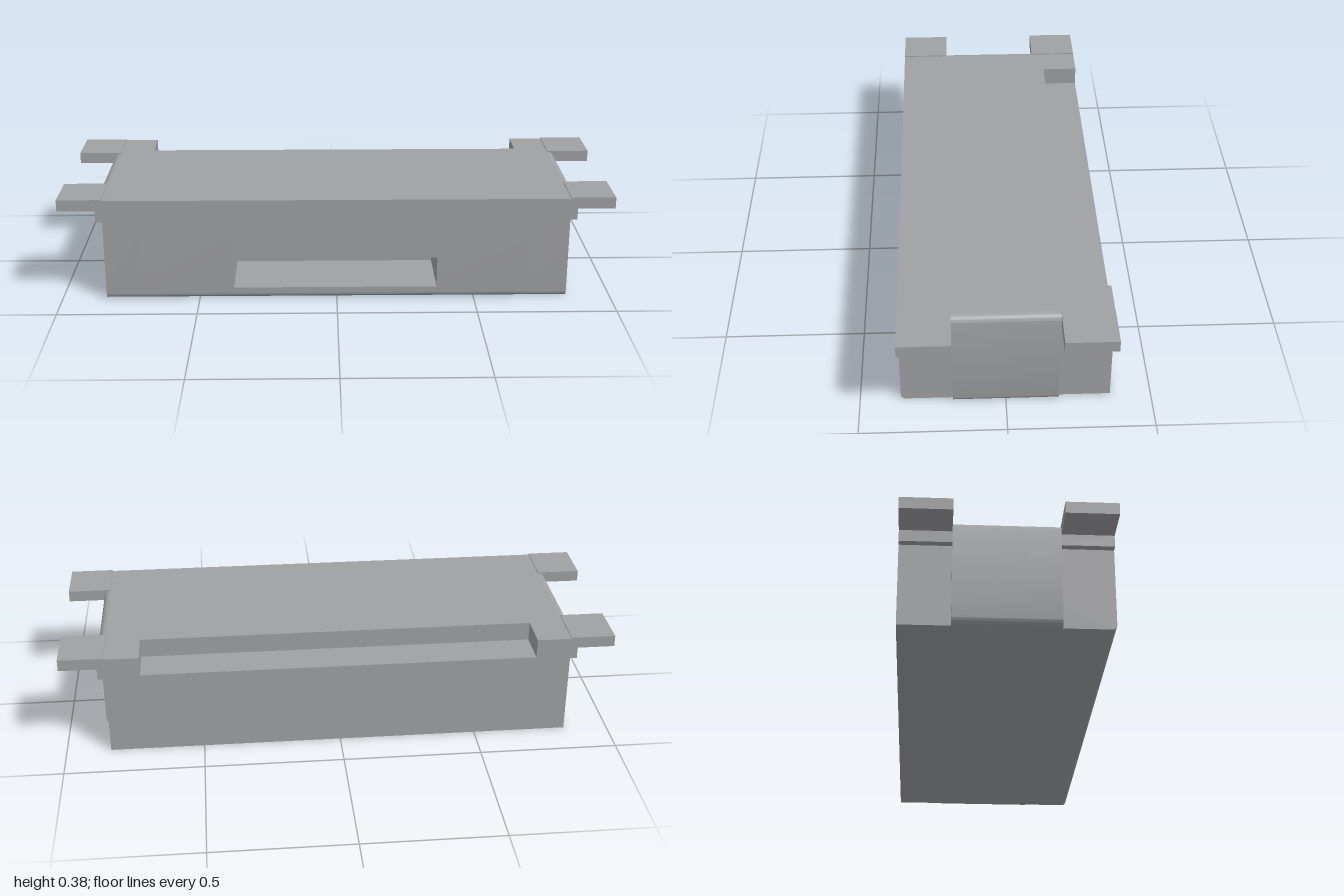
import * as THREE from 'three';
import { toCreasedNormals } from 'three/addons/utils/BufferGeometryUtils.js';

const TOP = 0.378, HALF_D = 0.36, CORE_X = 0.84, SIDE_X = 0.865, TAB_TOP = 0.382, PAD_Z = 0.182;

export function createModel() {
  const group = new THREE.Group();
  const grey = new THREE.MeshStandardMaterial({ color: 0xa0a1a3 });
  grey.name = 'plainGrey';

  const add = (name, geometry) => {
    const mesh = new THREE.Mesh(geometry, grey);
    mesh.name = name;
    group.add(mesh);
    return mesh;
  };
  const box = (name, x0, x1, y0, y1, z0, z1) => {
    const mesh = add(name, new THREE.BoxGeometry(Math.abs(x1 - x0), y1 - y0, Math.abs(z1 - z0)));
    mesh.position.set((x0 + x1) / 2, (y0 + y1) / 2, (z0 + z1) / 2);
  };
  const extrude = (shape, depth) => toCreasedNormals(
    new THREE.ExtrudeGeometry(shape, { depth, bevelEnabled: false, curveSegments: 8 }), 0.5);

  // Cross-section of the body; horizontal axis runs from front to back
  const section = (notched, slotted) => {
    const s = new THREE.Shape();
    const r = 0.018;
    s.moveTo(-HALF_D + r, 0);
    s.lineTo(HALF_D, 0);
    if (notched) {
      s.lineTo(HALF_D, TOP - 0.07);
      s.lineTo(0.225, TOP - 0.07);
      s.lineTo(0.225, TOP);
    } else {
      s.lineTo(HALF_D, TOP);
    }
    s.lineTo(-HALF_D, TOP);
    if (slotted) {
      s.lineTo(-HALF_D, 0.155);
      s.lineTo(-HALF_D + 0.25, 0.155);
      s.lineTo(-HALF_D + 0.25, 0.04);
      s.lineTo(-HALF_D, 0.04);
    }
    s.lineTo(-HALF_D, r);
    s.absarc(-HALF_D + r, r, r, Math.PI, Math.PI * 1.5, false);
    return s;
  };

  // Body spans: start x, end x, rear notch, front slot
  const spans = [
    ['bodyEndRight', -CORE_X, -0.715, false, false],
    ['bodyRight', -0.715, -0.375, true, false],
    ['bodyMiddle', -0.375, 0.365, true, true],
    ['bodyLeft', 0.365, 0.715, true, false],
    ['bodyEndLeft', 0.715, CORE_X, false, false],
  ];
  for (const [name, x0, x1, notched, slotted] of spans) {
    const mesh = add(name, extrude(section(notched, slotted), x1 - x0).rotateY(Math.PI / 2));
    mesh.position.x = x0;
  }

  // Raised side pad with rounded top and bottom
  const r = SIDE_X - CORE_X;
  const pad = new THREE.Shape();
  pad.moveTo(0, 0);
  pad.absarc(0, r, r, -Math.PI / 2, 0, false);
  pad.absarc(0, TOP - r, r, 0, Math.PI / 2, false);
  pad.closePath();

  for (const [side, sx] of [['Left', 1], ['Right', -1]]) {
    const geo = extrude(pad, PAD_Z * 2).translate(0, 0, -PAD_Z);
    if (sx < 0) geo.rotateY(Math.PI);
    add('sidePad' + side, geo).position.x = sx * CORE_X;

    // Mounting tabs and the ledges beneath them
    for (const [end, sz] of [['front', 1], ['rear', -1]]) {
      box(end + 'Ledge' + side, sx * CORE_X, sx * SIDE_X, 0.298, 0.34, sz * PAD_Z, sz * HALF_D);
      box(end + 'Tab' + side, sx * CORE_X, sx, 0.34, TAB_TOP, sz * PAD_Z, sz * HALF_D);
    }
  }
  return group;
}
